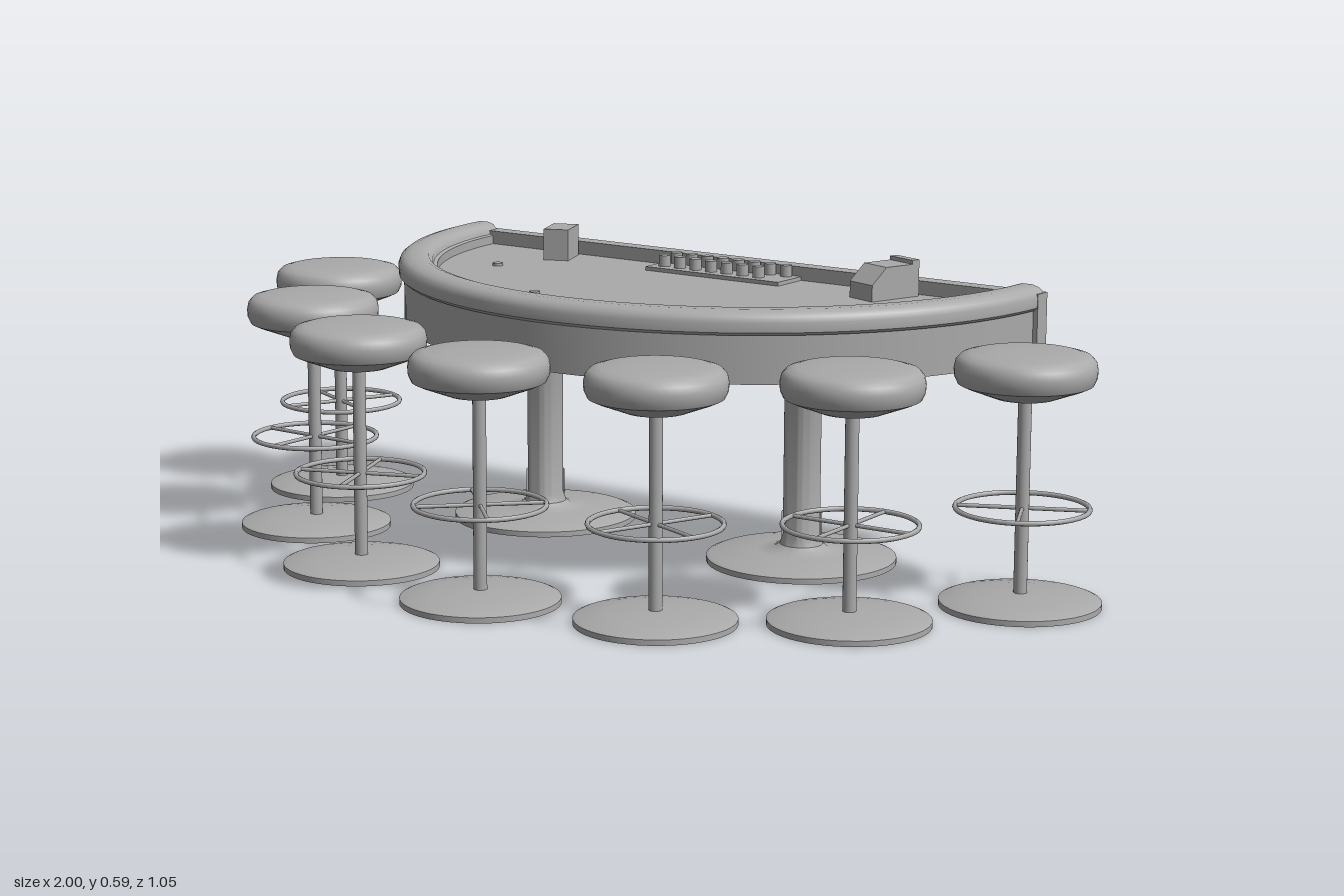
import * as THREE from 'three';
import { toCreasedNormals } from 'three/addons/utils/BufferGeometryUtils.js';

const grey = new THREE.MeshStandardMaterial({ color: 0xaaaaaa });
grey.name = 'plainGrey';
const greyDouble = grey.clone();
greyDouble.side = THREE.DoubleSide;

const BACK = -0.525; // centre of the half-round table
const FELT = 0.52;

function add(parent, name, geometry, x = 0, y = 0, z = 0, material = grey) {
  const mesh = new THREE.Mesh(geometry, material);
  mesh.name = name;
  mesh.position.set(x, y, z);
  parent.add(mesh);
  return mesh;
}

// Profile of [radius, height] pairs, turned round y with crisp edges kept
function turned(points, segments = 48, start = 0, sweep = Math.PI * 2) {
  const pts = points.map(([r, y]) => new THREE.Vector2(r, y));
  return toCreasedNormals(new THREE.LatheGeometry(pts, segments, start, sweep), 0.6);
}
const halfTurned = (points) => turned(points, 72, -Math.PI / 2, Math.PI);

function makeStool() {
  const stool = new THREE.Group();
  stool.name = 'stool';
  add(stool, 'stoolBase', turned([[0, 0], [0.155, 0], [0.155, 0.011], [0.148, 0.014],
    [0.09, 0.022], [0.02, 0.026], [0, 0.026]]));
  add(stool, 'stoolPole', new THREE.CylinderGeometry(0.013, 0.013, 0.39, 20), 0, 0.215, 0);
  // Padded seat on a tapered underside
  add(stool, 'seat', turned([[0, 0.405], [0.06, 0.405], [0.115, 0.426], [0.128, 0.432],
    [0.134, 0.445], [0.135, 0.46], [0.132, 0.474], [0.123, 0.484], [0.105, 0.489],
    [0.06, 0.492], [0, 0.493]]));
  // Foot ring with crossed spokes
  const ring = add(stool, 'footRing', new THREE.TorusGeometry(0.127, 0.005, 8, 48), 0, 0.191, 0);
  ring.rotation.x = Math.PI / 2;
  for (const turn of [Math.PI / 4, -Math.PI / 4]) {
    const spoke = add(stool, 'footRingSpoke', new THREE.CylinderGeometry(0.004, 0.004, 0.254, 8), 0, 0.191, 0);
    spoke.rotation.set(Math.PI / 2, 0, turn);
  }
  return stool;
}

function makeTable() {
  const table = new THREE.Group();
  table.name = 'table';

  // Half-round body with flat playing surface
  add(table, 'tableBody', halfTurned([[0, 0.42], [0.706, 0.42], [0.706, FELT], [0, FELT]]), 0, 0, BACK);
  add(table, 'backWall', new THREE.BoxGeometry(1.43, 0.128, 0.037), 0, 0.484, -0.5085);

  // Rounded arm rail and its end caps
  const rail = [[0.64, 0.515], [0.708, 0.515], [0.714, 0.521], [0.715, 0.54], [0.711, 0.551],
    [0.702, 0.558], [0.688, 0.562], [0.665, 0.562], [0.652, 0.558], [0.644, 0.549],
    [0.642, 0.54], [0.634, 0.538], [0.634, 0.515], [0.64, 0.515]];
  add(table, 'armRail', halfTurned(rail), 0, 0, BACK + 0.01).scale.z = 0.986;
  const cap = new THREE.ShapeGeometry(new THREE.Shape(rail.map(([r, y]) => new THREE.Vector2(r, y))));
  for (const side of [1, -1]) {
    add(table, 'railEnd', cap, 0, 0, BACK + 0.01, greyDouble).scale.x = side;
  }

  // Two flared, hollow pedestals
  const pedestal = turned([[0.04, 0.1], [0.04, 0], [0.19, 0], [0.19, 0.011], [0.18, 0.015],
    [0.09, 0.023], [0.055, 0.027], [0.043, 0.036], [0.037, 0.055], [0.037, 0.375],
    [0.042, 0.388], [0.056, 0.398], [0.075, 0.406], [0.13, 0.421]]);
  for (const side of [1, -1]) {
    add(table, 'pedestal', pedestal, side * 0.32, 0, -0.262);
  }

  // Chip tray with two rows of stacks
  add(table, 'chipTray', new THREE.BoxGeometry(0.33, 0.008, 0.09), 0, FELT + 0.004, -0.449);
  const stack = new THREE.CylinderGeometry(0.0125, 0.0125, 0.025, 16);
  [[8, -0.478], [7, -0.434]].forEach(([count, z]) => {
    for (let i = 0; i < count; i++) {
      add(table, 'chipStack', stack, -0.137 + i * 0.039, FELT + 0.0185, z);
    }
  });

  // Betting markers
  const marker = new THREE.CylinderGeometry(0.011, 0.011, 0.006, 20);
  for (const [x, z] of [[0.45, -0.27], [0.178, -0.04], [-0.178, -0.04], [-0.45, -0.27]]) {
    add(table, 'bettingMarker', marker, x, FELT + 0.003, z);
  }

  // Card holder block
  add(table, 'cardHolder', new THREE.BoxGeometry(0.054, 0.066, 0.082), -0.405, FELT + 0.033, -0.432)
    .rotation.y = 0.37;

  // Card dispenser: side profile with sloping front, plus a raised rear lip
  const dispenser = new THREE.Group();
  dispenser.name = 'cardDispenser';
  dispenser.position.set(0.402, FELT, -0.428);
  dispenser.rotation.y = -0.33;
  table.add(dispenser);
  const side = new THREE.Shape([[-0.06, 0], [0.06, 0], [0.06, 0.033], [0.024, 0.066], [-0.06, 0.066]]
    .map(([z, y]) => new THREE.Vector2(z, y)));
  const body = new THREE.ExtrudeGeometry(side, { depth: 0.07, bevelEnabled: false });
  body.translate(0, 0, -0.035);
  body.rotateY(-Math.PI / 2);
  add(dispenser, 'dispenserBody', body);
  add(dispenser, 'dispenserLip', new THREE.BoxGeometry(0.07, 0.01, 0.018), 0, 0.069, -0.051);
  return table;
}

export function createModel() {
  const model = new THREE.Group();
  model.name = 'gamingTableWithStools';
  model.add(makeTable());

  // Seven stools fanned round the curved side
  const spots = [[0, 0.368], [0.357, 0.295], [0.653, 0.088], [0.843, -0.218]];
  for (const [x, z] of spots) {
    for (const side of x ? [1, -1] : [1]) {
      const stool = makeStool();
      stool.position.set(side * x, 0, z);
      stool.rotation.y = Math.atan2(side * x, z - BACK);
      model.add(stool);
    }
  }
  return model;
}
